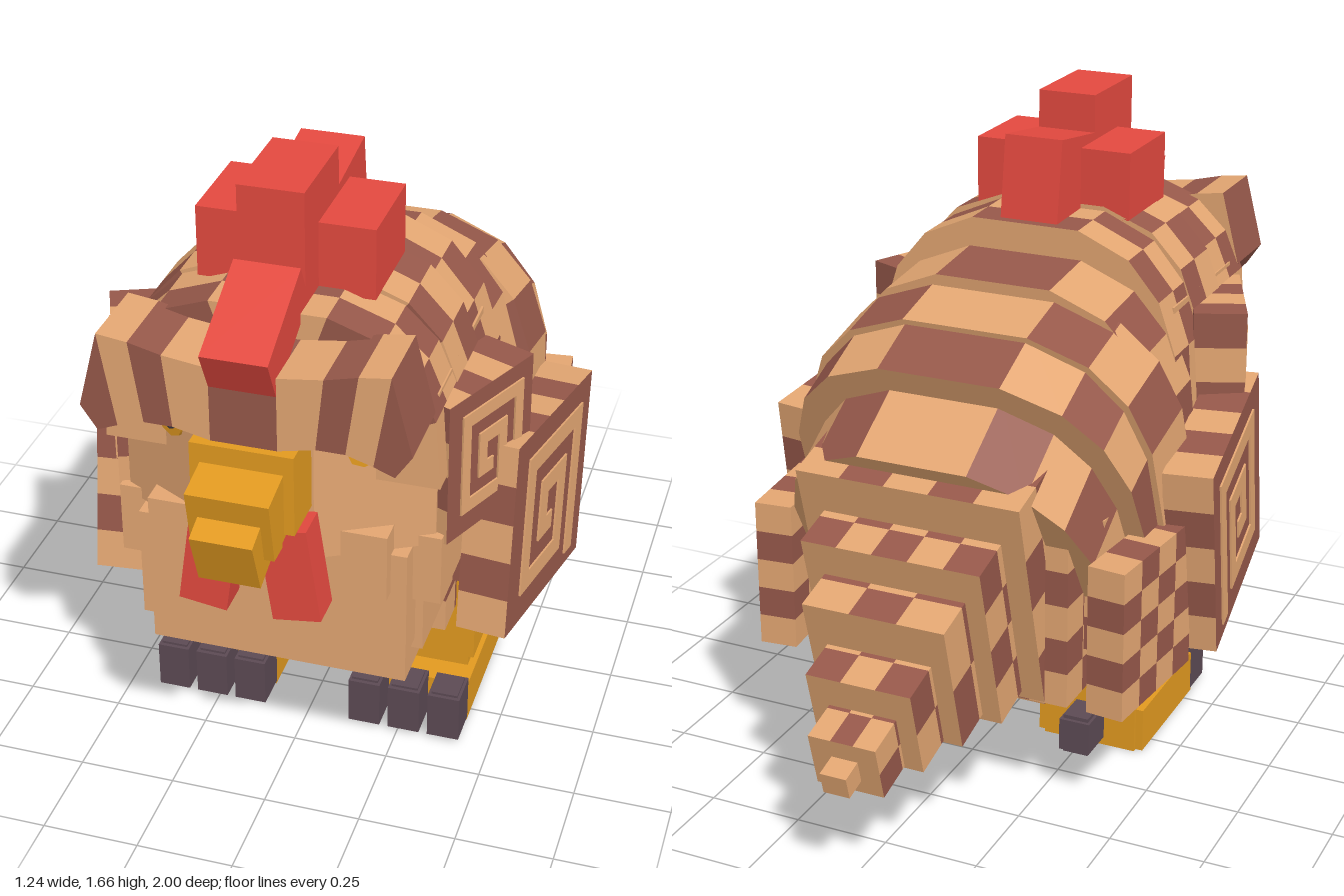
import * as THREE from 'three';

const mat = (name, color) => {
  const m = new THREE.MeshStandardMaterial({ color });
  m.name = name;
  return m;
};

export function createModel() {
  const tan = mat('tan', 0xe3a672);
  const brown = mat('brown', 0x96584a);
  const red = mat('red', 0xe3493f);
  const ochre = mat('ochre', 0xe29a20);
  const slate = mat('slate', 0x5c4a54);
  const dark = mat('dark', 0x3a3742);
  const model = new THREE.Group();

  const add = (name, geo, material, pos = [0, 0, 0], rot = [0, 0, 0], parent = model) => {
    const m = new THREE.Mesh(geo, material);
    m.name = name;
    m.position.set(...pos);
    m.rotation.set(...rot);
    parent.add(m);
    return m;
  };
  const box = (name, size, material, pos, rot, parent) =>
    add(name, new THREE.BoxGeometry(...size), material, pos, rot, parent);
  const both = fn => [[1, 'left'], [-1, 'right']].forEach(([s, side]) => fn(s, side));

  // Checkerboard box; plain maps a face (0..5 = +x -x +y -y +z -z) to one material (0 tan, 1 brown)
  const checkBox = (w, h, d, nx, ny, nz, plain = { 3: 1 }, phase = 0) => {
    const g = new THREE.BoxGeometry(w, h, d, nx, ny, nz);
    g.clearGroups();
    let at = 0;
    [[nz, ny], [nz, ny], [nx, nz], [nx, nz], [nx, ny], [nx, ny]].forEach(([cols, rows], f) => {
      for (let r = 0; r < rows; r++) for (let c = 0; c < cols; c++, at += 6)
        g.addGroup(at, 6, plain[f] ?? (r + c + phase) % 2);
    });
    return g;
  };

  // Solid arch of checkered plates between an outer and an inner outline, running back along z
  const archGeometry = (outer, inner, length, rows, phase) => {
    const cells = [[], []];
    const n = outer.length - 1;
    const quad = (out, ...q) => [0, 1, 2, 0, 2, 3].forEach(j => out.push(...q[j]));
    for (let k = 0; k < rows; k++) for (let i = 0; i < n; i++) {
      const out = cells[(i + k + phase) % 2];
      const f = -length * k / rows, b = -length * (k + 1) / rows;
      const p = (list, j, z) => [list[j][0], list[j][1], z];
      const A = p(outer, i, f), B = p(outer, i + 1, f), C = p(outer, i + 1, b), D = p(outer, i, b);
      const a = p(inner, i, f), e = p(inner, i + 1, f), c = p(inner, i + 1, b), d = p(inner, i, b);
      quad(out, A, D, C, B);
      quad(out, a, e, c, d);
      if (k === 0) quad(out, A, B, e, a);
      if (k === rows - 1) quad(cells[0], D, d, c, C);
      if (i === 0) quad(out, A, a, d, D);
      if (i === n - 1) quad(out, B, C, c, e);
    }
    const g = new THREE.BufferGeometry();
    g.setAttribute('position', new THREE.Float32BufferAttribute(cells.flat(), 3));
    g.addGroup(0, cells[0].length / 3, 0);
    g.addGroup(cells[0].length / 3, cells[1].length / 3, 1);
    g.computeVertexNormals();
    return g;
  };
  // Nine plates per arch, widest at the ridge
  const archOutline = (w, h, k) => Array.from({ length: 10 }, (_, i) => {
    const u = 1 - 2 * i / 9;
    const t = Math.PI / 2 * (1 - Math.sign(u) * Math.abs(u) ** 0.85), c = Math.cos(t);
    return [k * w * Math.sign(c) * Math.abs(c) ** 0.75, -h + k * h * Math.max(0, Math.sin(t)) ** 0.7];
  });

  // Shell bands: front z, top y, slope, length, half width, height, rows
  [
    [0.65, 1.385, 0, 0.2, 0.415, 0.42, 2],
    [0.46, 1.40, 0, 0.2, 0.425, 0.48, 2],
    [0.28, 1.39, 0.02, 0.2, 0.435, 0.55, 2],
    [0.11, 1.31, 0.10, 0.23, 0.46, 0.55, 1],
    [-0.08, 1.265, 0.24, 0.21, 0.495, 0.52, 1],
    [-0.25, 1.215, 0.42, 0.20, 0.48, 0.52, 1],
    [-0.38, 1.085, 0.55, 0.24, 0.43, 0.52, 1],
  ].forEach(([z, y, slope, len, w, h, rows], i) =>
    add('shellBand' + (i + 1),
      archGeometry(archOutline(w, h, 1), archOutline(w, h, 0.15), len, rows, i % 2),
      [tan, brown], [0, y, z], [-slope, 0, 0]));

  // Tail blocks: rear z, top y, half width, height, columns
  [
    [-0.61, 0.90, 0.30, 0.61, 5], [-0.70, 0.76, 0.24, 0.47, 5], [-0.79, 0.64, 0.19, 0.36, 3],
    [-0.87, 0.50, 0.14, 0.24, 3], [-0.955, 0.39, 0.09, 0.15, 3], [-1.0, 0.325, 0.035, 0.06, 1],
  ].forEach(([z, y, w, h, n], i) => {
    const tip = i === 5;
    const d = tip ? 0.12 : 0.2;
    const g = checkBox(w * 2, h, d, n, Math.max(1, n - 1), tip ? 1 : 2, tip ? {} : { 3: 1, 5: 0 }, tip ? 0 : i % 2);
    g.translate(0, -h / 2, d / 2);
    add('tailSegment' + (i + 1), g, [tan, brown], [0, y, z], [-0.26, 0, 0]);
  });

  // Body core, flanks above the legs, and rear skirts
  add('lowerBody', checkBox(0.72, 0.46, 0.79, 7, 5, 8), [tan, brown], [0, 0.545, -0.06]);
  add('flanks', checkBox(0.82, 0.36, 0.62, 7, 4, 7), [tan, brown], [0, 0.61, -0.04]);
  both((s, side) => add(side + 'Skirt', checkBox(0.1, 0.40, 0.37, 1, 5, 4), [tan, brown],
    [s * 0.48, 0.515, -0.275], [0, s * 0.1, 0]));

  // Stepped belly: width, bottom, top, front z
  [
    [0.82, 0.60, 0.79, 0.60], [0.60, 0.65, 0.83, 0.69], [0.68, 0.46, 0.76, 0.655],
    [0.66, 0.36, 0.61, 0.62], [0.60, 0.32, 0.46, 0.55], [0.72, 0.43, 0.78, 0.57],
  ].forEach(([w, y0, y1, z], i) =>
    box('bellyStep' + (i + 1), [w, y1 - y0, z - 0.2], tan, [0, (y0 + y1) / 2, (z + 0.2) / 2]));

  // Head with slanted cheeks
  const plan = new THREE.Shape([[-0.13, -0.72], [0.13, -0.72], [0.39, -0.58], [0.39, -0.15], [-0.39, -0.15], [-0.39, -0.58]]
    .map(([x, y]) => new THREE.Vector2(x, y)));
  const face = new THREE.ExtrudeGeometry(plan, { depth: 0.42, bevelEnabled: false });
  face.rotateX(-Math.PI / 2);
  add('face', face, tan, [0, 0.76, 0]);

  // Brow visor
  const mirror = half => [...half, ...half.slice().reverse().map(([x, y]) => [-x, y])];
  add('browVisor', archGeometry(
    mirror([[0.395, 1.16], [0.345, 1.355], [0.27, 1.345], [0.19, 1.325], [0.08, 1.31]]),
    mirror([[0.355, 1.10], [0.305, 1.12], [0.24, 1.14], [0.17, 1.14], [0.08, 1.12]]), 0.2, 1, 1),
  [tan, brown], [0, 0, 0.83]);

  // Eyes
  both((s, side) => {
    const eye = new THREE.Group();
    eye.name = side + 'Eye';
    eye.position.set(s * 0.235, 1.05, 0.666);
    eye.rotation.y = s * 0.478;
    model.add(eye);
    const iris = new THREE.CylinderGeometry(0.041, 0.041, 0.008, 8);
    iris.rotateX(Math.PI / 2);
    add('iris', iris, ochre, [0, 0, 0.004], undefined, eye);
    const pupil = new THREE.CylinderGeometry(0.022, 0.022, 0.006, 8);
    pupil.rotateX(Math.PI / 2);
    add('pupil', pupil, dark, [0, 0.003, 0.01], undefined, eye);
  });

  // Beak and wattles
  box('beakBase', [0.25, 0.21, 0.17], ochre, [0, 1.015, 0.765]);
  box('beakMiddle', [0.2, 0.17, 0.19], ochre, [0, 0.985, 0.845], [0.2, 0, 0]);
  box('beakTip', [0.15, 0.15, 0.1], ochre, [0, 0.91, 0.928], [0.35, 0, 0]);
  box('lowerBeak', [0.17, 0.09, 0.17], ochre, [0, 0.895, 0.785]);
  both((s, side) => box(side + 'Wattle', [0.12, 0.25, 0.09], red, [s * 0.1, 0.77, 0.775], [0, 0, s * 0.14]));

  // Comb
  box('combCentre', [0.16, 0.36, 0.26], red, [0, 1.48, 0.48]);
  box('combSides', [0.435, 0.18, 0.25], red, [0, 1.45, 0.385]);
  box('combBack', [0.16, 0.22, 0.23], red, [0, 1.465, 0.235], [0.14, 0, 0]);
  box('combFront', [0.16, 0.12, 0.27], red, [0, 1.375, 0.735], [0.46, 0, 0]);

  // Square spiral inlaid on the outer face of a plate; u runs to the back, v upward
  const path = [[0.83, 0.12], [0.83, 0.83], [0.2, 0.83], [0.2, 0.2], [0.64, 0.2], [0.64, 0.63], [0.4, 0.63], [0.4, 0.4], [0.48, 0.4]];
  const spiral = (parent, x, w, h) => {
    const t = 0.095;
    for (let i = 1; i < path.length; i++) {
      const [u0, v0] = path[i - 1], [u1, v1] = path[i];
      box('spiralStroke', [0.006, (Math.abs(v1 - v0) + t) * h, (Math.abs(u1 - u0) + t) * w], tan,
        [x, ((v0 + v1) / 2 - 0.5) * h, (0.5 - (u0 + u1) / 2) * w], undefined, parent);
    }
  };
  const plainSides = { 0: 1, 1: 1, 3: 1 };
  both((s, side) => {
    const wing = add(side + 'Wing', checkBox(0.13, 0.52, 0.56, 1, 5, 5, plainSides), [tan, brown],
      [s * 0.517, 0.645, 0.15], [-0.145, s * -0.13, 0]);
    spiral(wing, s * 0.067, 0.56, 0.52);
    const flap = add(side + 'CheekFlap', checkBox(0.14, 0.38, 0.33, 1, 4, 4, plainSides, 1), [tan, brown],
      [s * 0.417, 0.955, 0.405], [0, s * -0.4, 0]);
    spiral(flap, s * 0.072, 0.33, 0.38);
  });

  // Legs, feet and claws
  both((s, side) => {
    const x = s * 0.267;
    box(side + 'Leg', [0.29, 0.27, 0.30], ochre, [x, 0.285, 0.07]);
    box(side + 'Ankle', [0.26, 0.15, 0.30], ochre, [x, 0.075, 0.07]);
    box(side + 'Foot', [0.30, 0.12, 0.37], ochre, [x, 0.062, 0.115]);
    for (const k of [-1, 0, 1]) {
      box(side + 'FrontClaw', [0.085, 0.13, 0.1], slate, [x + k * 0.108, 0.075, 0.345]);
      box(side + 'FrontClawCore', [0.07, 0.145, 0.08], slate, [x + k * 0.108, 0.074, 0.345]);
    }
    box(side + 'BackClaw', [0.085, 0.09, 0.11], slate, [x, 0.068, -0.13]);
    box(side + 'BackClawCore', [0.07, 0.11, 0.09], slate, [x, 0.068, -0.13]);
  });

  return model;
}
